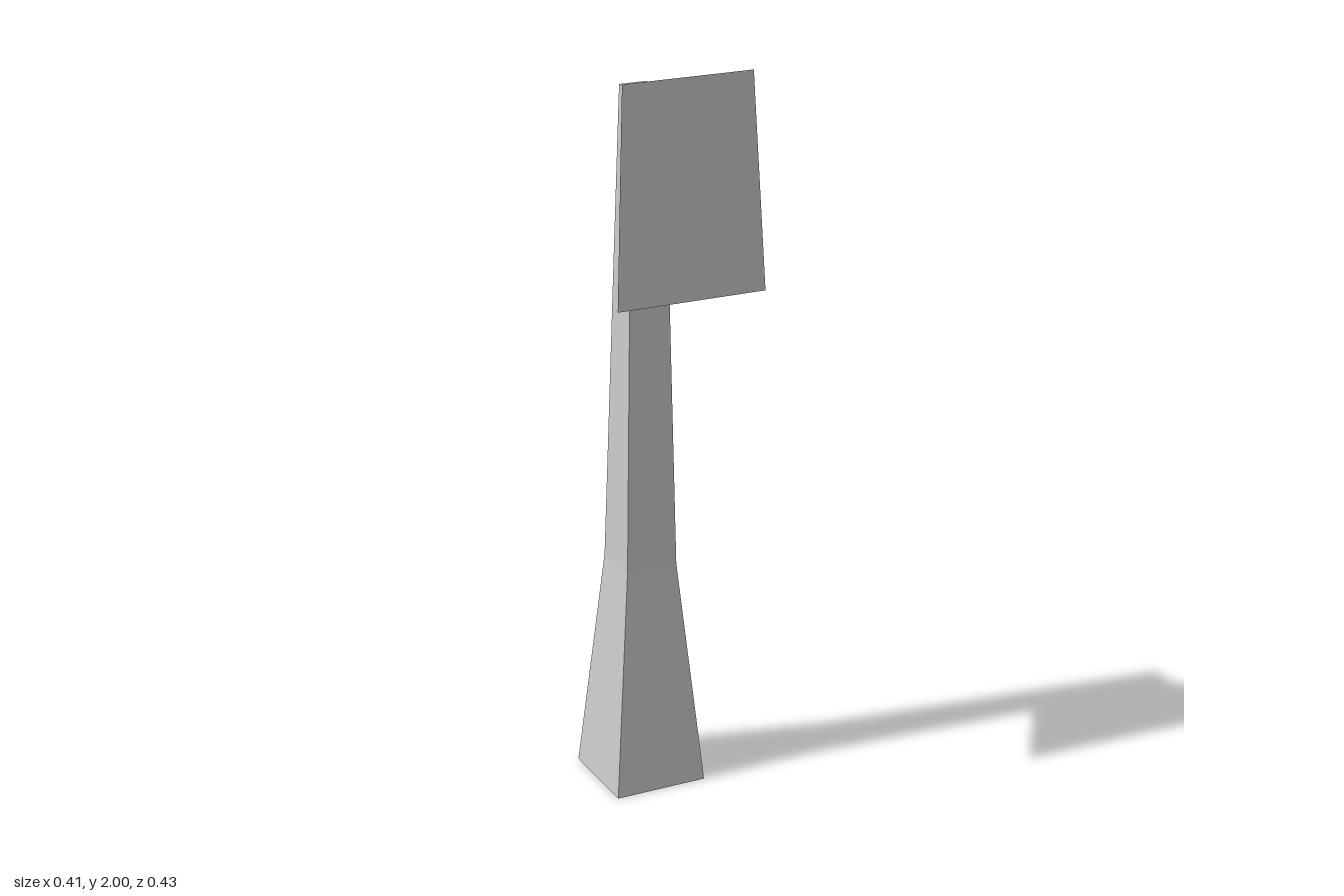
import * as THREE from 'three';

// Skin a list of four-cornered rings (each counter-clockwise seen from the end) with flat faces.
function loft(name, rings, material, capStart = true) {
  const pos = [];
  const quad = (a, b, c, d) => pos.push(...a, ...b, ...c, ...a, ...c, ...d);
  for (let i = 0; i < rings.length - 1; i++) {
    const lo = rings[i], hi = rings[i + 1];
    for (let j = 0; j < 4; j++) {
      const k = (j + 1) % 4;
      quad(lo[j], lo[k], hi[k], hi[j]);
    }
  }
  if (capStart) quad(...[...rings[0]].reverse());
  quad(...rings[rings.length - 1]);
  const geometry = new THREE.BufferGeometry();
  geometry.setAttribute('position', new THREE.Float32BufferAttribute(pos, 3));
  geometry.computeVertexNormals();
  const mesh = new THREE.Mesh(geometry, material);
  mesh.name = name;
  return mesh;
}

// Horizontal section of the post, with its own front and back half widths
const level = (y, zFront, wFront, zBack, wBack) => [
  [-wFront, y, zFront], [wFront, y, zFront], [wBack, y, zBack], [-wBack, y, zBack],
];

// Trapezoid section of the head, running from its bottom edge to its top edge
const panel = (yBottom, zBottom, wBottom, yTop, zTop, wTop) => [
  [-wBottom, yBottom, zBottom], [wBottom, yBottom, zBottom], [wTop, yTop, zTop], [-wTop, yTop, zTop],
];

export function createModel() {
  const group = new THREE.Group();
  const material = new THREE.MeshStandardMaterial({ color: 0xcccccc, flatShading: true });

  // Square post: flared foot, slender shaft
  group.add(loft('post', [
    level(0, 0.043, 0.13, -0.215, 0.13),
    level(0.63, -0.015, 0.072, -0.158, 0.072),
    level(1.465, -0.03, 0.055, -0.137, 0.05),
    level(1.92, -0.048, 0.038, -0.125, 0.038),
  ], material));

  // Head widening forward from the post's front face
  group.add(loft('head', [
    panel(1.465, -0.03, 0.055, 1.92, -0.048, 0.038),
    panel(1.44, 0.214, 0.205, 2, 0.187, 0.178),
  ], material, false));

  return group;
}
